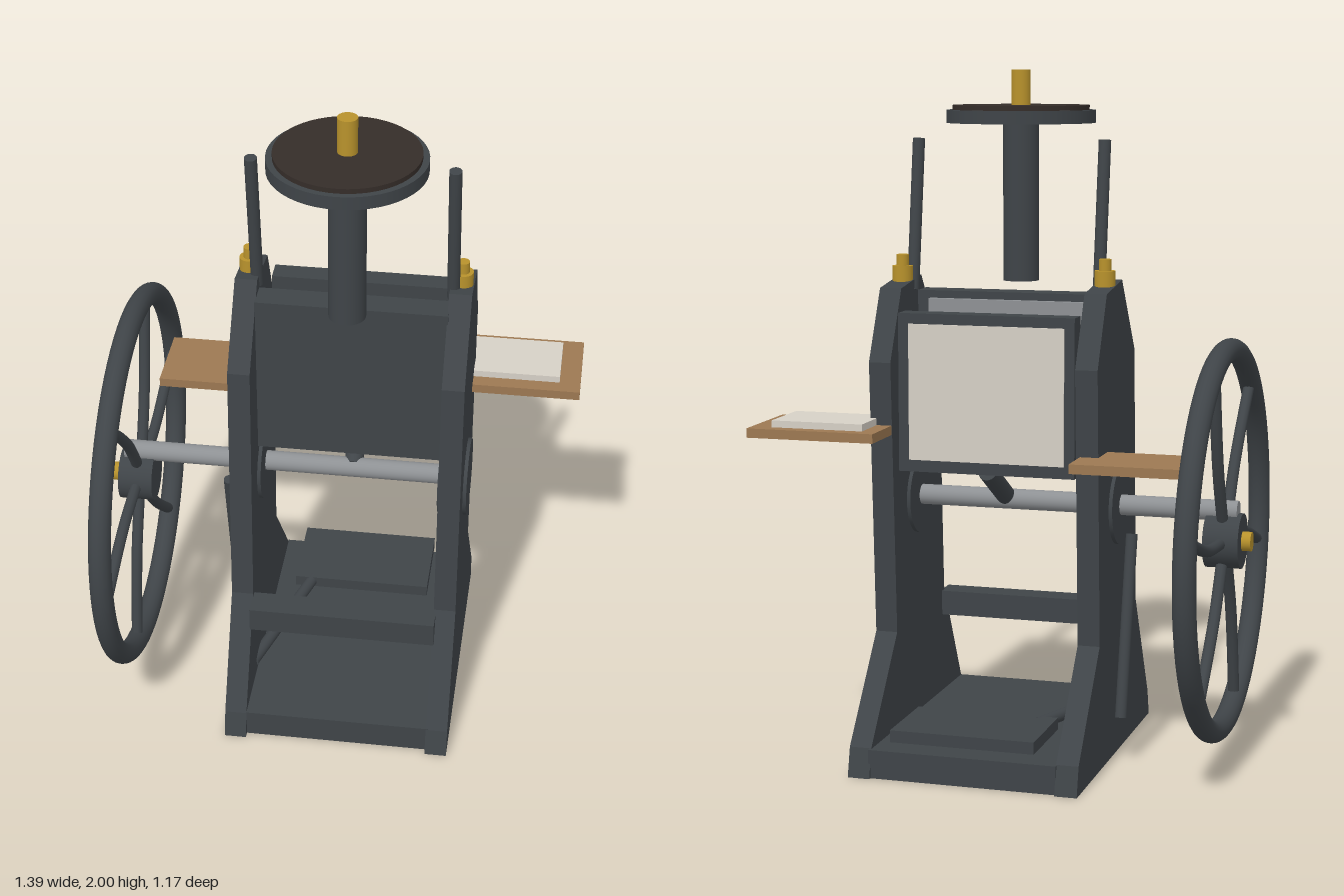
import * as THREE from 'three';

const V = (x, y, z) => new THREE.Vector3(x, y, z);

export function createModel() {
  const model = new THREE.Group();
  model.name = 'treadlePress';
  const mat = (color) => new THREE.MeshStandardMaterial({ color });
  const iron = mat(0x3f4448), steel = mat(0x8e9194), brass = mat(0xb8922c);
  const wood = mat(0x9c7852), paper = mat(0xd6d0c6), ink = mat(0x352d29), rubber = mat(0x25272a);

  const add = (name, geo, material, parent = model) => {
    const mesh = new THREE.Mesh(geo, material);
    mesh.name = name;
    parent.add(mesh);
    return mesh;
  };
  // Box from its minimum and maximum on each axis
  const box = (name, x0, x1, y0, y1, z0, z1, material = iron) =>
    add(name, new THREE.BoxGeometry(x1 - x0, y1 - y0, z1 - z0), material)
      .position.set((x0 + x1) / 2, (y0 + y1) / 2, (z0 + z1) / 2);
  // Round bar between two points
  const bar = (name, a, b, r, material = iron, sides = 24, parent = model) => {
    const mesh = add(name, new THREE.CylinderGeometry(r, r, a.distanceTo(b), sides), material, parent);
    mesh.position.copy(a).add(b).multiplyScalar(0.5);
    mesh.quaternion.setFromUnitVectors(V(0, 1, 0), b.clone().sub(a).normalize());
    return mesh;
  };

  const midX = 0.035;

  // Side frames, with shaft bosses, roller rods and oil cups
  const profile = [[0.42, 0], [0.40, 0.08], [0.23, 0.41], [0.19, 1.18], [0.03, 1.4],
    [-0.15, 1.375], [-0.25, 1.17], [-0.21, 0.37], [-0.44, 0.085], [-0.46, 0]];
  const frameShape = new THREE.Shape(profile.map(([z, y]) => new THREE.Vector2(z, y)));
  const frameGeo = new THREE.ExtrudeGeometry(frameShape, { depth: 0.065, bevelEnabled: false });
  frameGeo.translate(0, 0, -0.0325).rotateY(-Math.PI / 2);
  for (const s of [-1, 1]) {
    const side = s > 0 ? 'left' : 'right';
    const x = midX + s * 0.306;
    add(side + 'Frame', frameGeo, iron).position.x = x;
    bar(side + 'Boss', V(x - 0.043, 0.745, 0), V(x + 0.043, 0.745, 0), 0.115, iron, 40);
    const rx = midX + s * 0.282;
    bar(side + 'RollerRod', V(rx, 1.36, -0.02), V(rx, 1.8, 0.042), 0.018);
    bar(side + 'OilCup', V(x, 1.38, -0.043), V(x, 1.432, -0.043), 0.03, brass);
    bar(side + 'OilCupCap', V(x, 1.43, -0.043), V(x, 1.465, -0.043), 0.018, brass);
  }

  // Base and front crossbar
  box('base', -0.24, 0.315, 0, 0.083, -0.45, 0.4);
  box('crossbar', -0.24, 0.315, 0.325, 0.4, 0.21, 0.295);

  // Type bed with chase, and rollers behind it
  box('bed', -0.24, 0.312, 0.855, 1.357, 0, 0.082);
  box('chase', -0.2, 0.27, 0.9, 1.335, -0.02, 0, steel);
  for (const y of [1.0, 1.14])
    bar('inkRoller', V(-0.235, y, -0.055), V(0.31, y, -0.055), 0.035, rubber);

  // Platen with its sheet, and supporting arm
  box('platen', -0.225, 0.3, 0.85, 1.31, -0.205, -0.14);
  box('platenSheet', -0.195, 0.268, 0.885, 1.28, -0.21, -0.204, paper);
  bar('platenArm', V(midX, 0.75, 0), V(midX, 0.86, -0.195), 0.028);

  // Main shaft
  bar('shaft', V(-0.66, 0.745, 0), V(0.34, 0.745, 0), 0.03, steel);

  // Flywheel with six curved spokes
  const wheel = new THREE.Group();
  wheel.name = 'flywheel';
  wheel.position.set(-0.62, 0.658, 0);
  model.add(wheel);
  add('rim', new THREE.TorusGeometry(0.55, 0.033, 16, 72).rotateY(Math.PI / 2), iron, wheel);
  bar('hub', V(-0.053, 0, 0), V(0.05, 0, 0), 0.08, iron, 32, wheel);
  bar('hubCap', V(-0.08, 0, 0), V(-0.05, 0, 0), 0.028, brass, 24, wheel);
  const spokeCurve = new THREE.CatmullRomCurve3(
    [[0.05, 0], [0.22, -3.5], [0.33, -6.5], [0.545, -11]].map(([r, deg]) => {
      const a = THREE.MathUtils.degToRad(deg);
      return V(0, r * Math.sin(a), r * Math.cos(a));
    }));
  const spokeGeo = new THREE.TubeGeometry(spokeCurve, 16, 0.017, 10);
  for (let i = 0; i < 6; i++)
    add('spoke', spokeGeo, iron, wheel).rotation.x = -i * Math.PI / 3;

  // Treadle, its arm and connecting rod
  box('treadle', -0.175, 0.25, 0.11, 0.145, -0.445, -0.19);
  bar('treadleArm', V(-0.25, 0.115, 0.2), V(-0.12, 0.128, -0.21), 0.018);
  bar('connectingRod', V(-0.345, 0.14, -0.12), V(-0.345, 0.66, 0), 0.017);

  // Feed and delivery boards
  box('deliveryBoard', -0.575, -0.25, 0.895, 0.922, -0.36, -0.13, wood);
  box('feedBoard', 0.31, 0.692, 0.96, 0.987, -0.402, -0.13, wood);
  box('paperStack', 0.355, 0.63, 0.987, 1.007, -0.363, -0.175, paper);

  // Ink disc on its post
  const upright = (name, y0, y1, r, material) =>
    bar(name, V(midX, y0, 0.148), V(midX, y1, 0.148), r, material, 48);
  upright('discPost', 1.38, 1.85, 0.053, iron);
  upright('discRim', 1.845, 1.883, 0.22, iron);
  upright('inkDisc', 1.88, 1.897, 0.202, ink);
  upright('discSpindle', 1.89, 2, 0.028, brass);

  return model;
}
